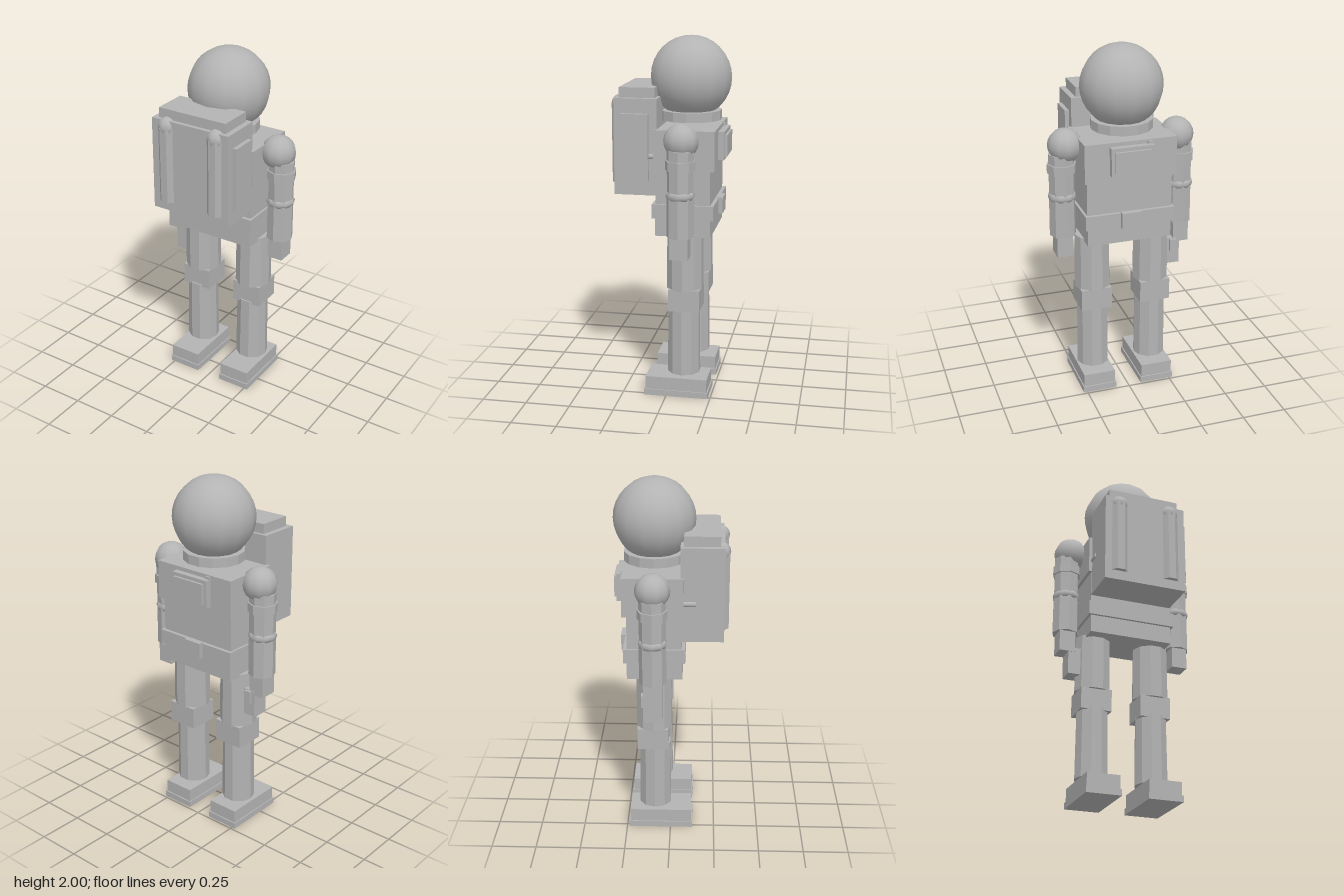
import * as THREE from 'three';

export function createModel() {
  const model = new THREE.Group();
  const suit = new THREE.MeshStandardMaterial({ color: 0xb3b3b3 });
  suit.name = 'suit grey';
  const Z = -0.093; // depth of the body axis

  function add(name, geometry, x = 0, y = 0, z = 0) {
    const mesh = new THREE.Mesh(geometry, suit);
    mesh.name = name;
    mesh.position.set(x, y, z);
    model.add(mesh);
    return mesh;
  }
  // Box given by its limits on each axis
  function box(name, x0, x1, y0, y1, z0, z1) {
    return add(name, new THREE.BoxGeometry(x1 - x0, y1 - y0, z1 - z0),
      (x0 + x1) / 2, (y0 + y1) / 2, (z0 + z1) / 2);
  }
  // Faceted upright cylinder with a corner pointing along x
  function column(name, x, z, y0, y1, rTop, rBottom, sides) {
    const g = new THREE.CylinderGeometry(rTop, rBottom, y1 - y0, sides).rotateY(Math.PI / 2).toNonIndexed();
    g.computeVertexNormals();
    return add(name, g, x, (y0 + y1) / 2, z);
  }
  // Smooth ball with a corner pointing along z
  function ball(name, x, y, z, r, sides, rings) {
    return add(name, new THREE.SphereGeometry(r, sides, rings).rotateY(Math.PI / 2), x, y, z);
  }

  // Helmet and collar
  ball('helmet', 0, 1.775, Z, 0.225, 14, 16);
  column('collar', 0, Z, 1.545, 1.597, 0.17, 0.17, 14);

  // Torso
  box('chest', -0.257, 0.257, 1.3, 1.517, -0.262, 0.07);
  box('abdomen', -0.24, 0.24, 1.11, 1.3, -0.238, 0.06);
  box('belt', -0.253, 0.253, 1.03, 1.11, -0.258, 0.08);
  box('buckle', -0.055, 0.055, 1.025, 1.115, -0.282, -0.25);
  box('pelvis', -0.238, 0.238, 0.93, 1.03, -0.24, 0.065);

  // Chest control panel
  box('controlPanel', -0.12, 0.12, 1.34, 1.495, -0.296, -0.26);
  box('panelScreen', -0.1, 0.1, 1.358, 1.475, -0.31, -0.29);
  box('panelKnob', -0.12, -0.09, 1.485, 1.51, -0.272, -0.26);

  // Backpack
  box('backpack', -0.238, 0.238, 1.155, 1.68, 0.052, 0.288);
  box('backpackLid', -0.207, 0.207, 1.68, 1.735, 0.07, 0.265);
  box('backpackSidePanel', 0.23, 0.262, 1.237, 1.6, 0.097, 0.245);

  for (const s of [-1, 1]) {
    // Air tanks and hose fittings
    column('airTank', s * 0.153, 0.264, 1.21, 1.64, 0.053, 0.053, 8).rotation.y = Math.PI / 8;
    ball('tankDome', s * 0.153, 1.64, 0.264, 0.054, 8, 8);
    add('hoseFitting', new THREE.CylinderGeometry(0.016, 0.016, 0.09, 8).rotateX(Math.PI / 2),
      s * 0.232, 1.37, 0.09);

    // Arm
    const ax = s * 0.338;
    ball('shoulder', s * 0.317, 1.472, Z, 0.095, 10, 10);
    column('upperArm', ax, Z, 1.19, 1.43, 0.073, 0.071, 8);
    column('armBand', ax, Z, 1.325, 1.375, 0.081, 0.081, 8);
    add('elbowRing', new THREE.TorusGeometry(0.052, 0.027, 8, 10).rotateX(Math.PI / 2), ax, 1.187, Z);
    column('forearm', ax, Z, 0.96, 1.175, 0.073, 0.074, 8);
    box('hand', ax - 0.045, ax + 0.045, 0.84, 0.965, -0.142, -0.042);

    // Leg
    const lx = s * 0.173;
    column('thigh', lx, Z, 0.625, 0.945, 0.1, 0.103, 10);
    box('knee', lx - 0.088, lx + 0.088, 0.505, 0.63, -0.185, -0.012);
    column('shin', lx, -0.088, 0.13, 0.52, 0.089, 0.093, 10);
    box('boot', lx - 0.092, lx + 0.092, 0.035, 0.11, -0.23, 0.118);
    box('sole', lx - 0.098, lx + 0.098, 0, 0.035, -0.237, 0.125);
  }

  // Hip pouch
  box('hipPouch', -0.33, -0.25, 0.71, 0.865, -0.145, -0.045);
  box('pouchClip', -0.31, -0.27, 0.79, 0.86, -0.16, -0.145);

  return model;
}
